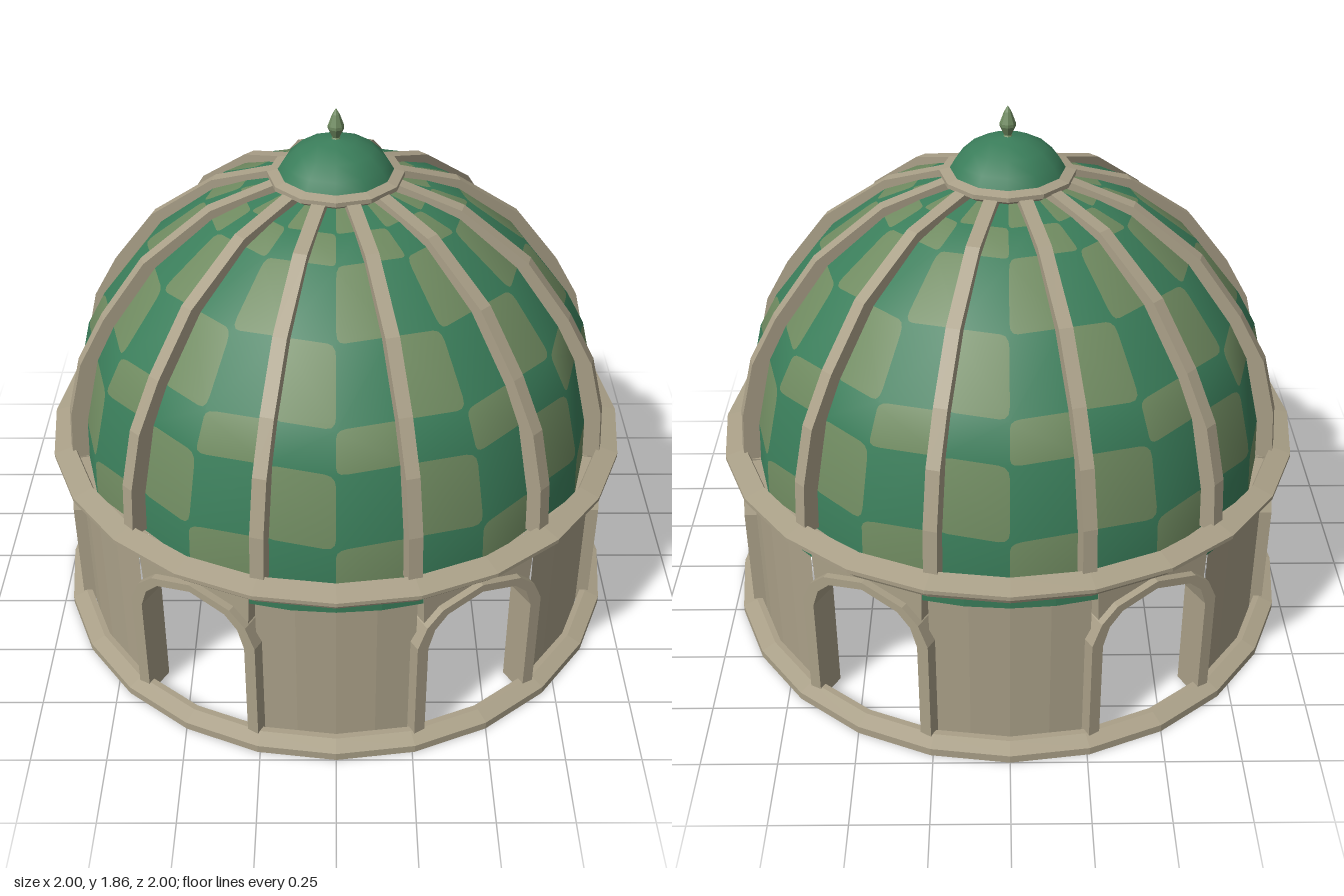
import * as THREE from 'three';
import { mergeGeometries } from 'three/addons/utils/BufferGeometryUtils.js';

const DEG = Math.PI / 180;
const vec = (p) => new THREE.Vector2(p[0], p[1]);

// Faceted normals for stonework
function faceted(geometry) {
  const g = geometry.index ? geometry.toNonIndexed() : geometry;
  g.computeVertexNormals();
  return g;
}

function lathe(profile, sides, start = 0, length = Math.PI * 2) {
  return new THREE.LatheGeometry(profile.map(vec), sides, start, length);
}

// Dome outline: one point per tile row boundary [radius, height]
const DOME = [[0.915, 0.67], [0.908, 0.82], [0.85, 1.06], [0.785, 1.18],
  [0.63, 1.38], [0.43, 1.53], [0.31, 1.575], [0.17, 1.61]];

const domeNormals = DOME.map((p, i) => {
  const a = DOME[Math.max(i - 1, 0)], b = DOME[Math.min(i + 1, DOME.length - 1)];
  return new THREE.Vector2(b[1] - a[1], a[0] - b[0]).normalize();
});

// Corner of the twelve-sided shell; odd columns lie in the middle of a side
function domePoint(col, row) {
  const a = col * 15 * DEG;
  const r = DOME[row][0] * (col % 2 ? Math.cos(15 * DEG) : 1);
  return new THREE.Vector3(Math.sin(a) * r, DOME[row][1], Math.cos(a) * r);
}

// Lay a flat unit-square shape onto one dome tile
function onTile(shape, col, row) {
  const g = new THREE.ShapeGeometry(shape, 3);
  const pos = g.attributes.position, nor = g.attributes.normal;
  const [a, b, c, d] = [[0, 0], [1, 0], [0, 1], [1, 1]].map(([u, v]) => domePoint(col + u, row + v));
  for (let i = 0; i < pos.count; i++) {
    const u = pos.getX(i), v = pos.getY(i);
    const p = a.clone().lerp(b, u).lerp(c.clone().lerp(d, u), v);
    const n = domeNormals[row].clone().lerp(domeNormals[row + 1], v).normalize();
    const t = (col + u) * 15 * DEG;
    pos.setXYZ(i, p.x, p.y, p.z);
    nor.setXYZ(i, Math.sin(t) * n.x, n.y, Math.cos(t) * n.x);
  }
  return g;
}

// Unit-square shapes: full tile, rounded tile and its four corner fillets
const ROUND = 0.16;
const TURNS = [[0, 0], [1, 0], [1, 1], [0, 1]];
const toward = (p, q, t) => [p[0] + (q[0] - p[0]) * t, p[1] + (q[1] - p[1]) * t];
const squareTile = new THREE.Shape(TURNS.map(vec));
const roundTile = new THREE.Shape();
const fillets = [];
TURNS.forEach((p, i) => {
  const before = toward(p, TURNS[(i + 3) % 4], ROUND), after = toward(p, TURNS[(i + 1) % 4], ROUND);
  if (i) roundTile.lineTo(...before); else roundTile.moveTo(...before);
  roundTile.quadraticCurveTo(...p, ...after);
  const f = new THREE.Shape();
  f.moveTo(...p);
  f.lineTo(...after);
  f.quadraticCurveTo(...p, ...before);
  fillets.push(f);
});

// Pointed arch outline, from right foot over the apex to left foot
function archPoints(half, spring, shoulderX, shoulderY, apex, foot) {
  const right = [[half, foot], [half, spring], [(half + shoulderX) / 2 + 0.012, (spring + shoulderY) / 2 + 0.012],
    [shoulderX, shoulderY], [0, apex]];
  return right.concat(right.slice(0, -1).reverse().map(([x, y]) => [-x, y]));
}

function extrude(points, depth) {
  return new THREE.ExtrudeGeometry(new THREE.Shape(points.map(vec)), { depth, bevelEnabled: false });
}

export function createModel() {
  const stone = new THREE.MeshStandardMaterial({ color: 0xaaa088 });
  stone.name = 'stone';
  const green = new THREE.MeshStandardMaterial({ color: 0x3a7d5a, side: THREE.DoubleSide });
  green.name = 'greenTile';
  const olive = new THREE.MeshStandardMaterial({ color: 0x6f8a60, side: THREE.DoubleSide });
  olive.name = 'oliveTile';

  const model = new THREE.Group();
  model.name = 'domedPavilion';
  const add = (name, geometry, material, turn = 0) => {
    const mesh = new THREE.Mesh(geometry, material);
    mesh.name = name;
    mesh.rotation.y = turn;
    model.add(mesh);
    return mesh;
  };

  // Base ring and cornice
  add('baseRing', faceted(lathe([[0.93, 0], [1, 0], [1, 0.028], [0.95, 0.045], [0.93, 0.045], [0.93, 0]], 24)), stone);
  add('cornice', faceted(lathe([[0.925, 0.63], [0.96, 0.635], [0.97, 0.655], [0.98, 0.67], [1, 0.678],
    [1, 0.692], [0.93, 0.71], [0.925, 0.7], [0.925, 0.63]], 24)), stone);

  // Six curved wall piers, green bands and arched openings
  const pier = faceted(lathe([[0.84, 0], [0.92, 0], [0.92, 0.645], [0.84, 0.645], [0.84, 0]], 4, -16 * DEG, 32 * DEG));
  const band = faceted(lathe([[0.926, 0.585], [0.926, 0.638]], 4, -17.5 * DEG, 35 * DEG));
  const opening = archPoints(0.2, 0.41, 0.13, 0.525, 0.56, 0.0);
  const outer = archPoints(0.24, 0.425, 0.15, 0.55, 0.588, 0.0);
  const frame = extrude(outer.concat([...opening].reverse()), 0.11).translate(0, 0, 0.82);
  const head = opening.slice(1, -1).reverse();
  const spandrel = extrude(head.concat([[0.21, 0.645], [-0.21, 0.645]]), 0.08).translate(0, 0, 0.826);
  for (let i = 0; i < 6; i++) {
    add('wallPier', pier, stone, i * 60 * DEG);
    add('wallBand', band, green, i * 60 * DEG);
    add('archFrame', frame, stone, (i * 60 + 30) * DEG);
    add('archSpandrel', spandrel, stone, (i * 60 + 30) * DEG);
  }

  // Chequered dome shell
  const greens = [], olives = [];
  for (let row = 0; row < DOME.length - 1; row++) {
    for (let col = 0; col < 24; col++) {
      if ((row + col) % 2) {
        greens.push(onTile(squareTile, col, row));
      } else {
        olives.push(onTile(roundTile, col, row));
        fillets.forEach((f) => greens.push(onTile(f, col, row)));
      }
    }
  }
  add('domeGreenTiles', mergeGeometries(greens), green);
  add('domeOliveTiles', mergeGeometries(olives), olive);

  // Twelve ribs over the dome
  const ribTop = [[0.94, 0.68], [0.928, 0.86], [0.88, 1.05], [0.79, 1.21], [0.645, 1.4], [0.42, 1.56], [0.19, 1.63]];
  const ribUnder = [[0.87, 0.68], [0.865, 0.84], [0.81, 1.03], [0.735, 1.17], [0.595, 1.35], [0.39, 1.51], [0.18, 1.58]];
  const rib = extrude(ribTop.concat(ribUnder.reverse()).reverse(), 0.045).translate(0, 0, -0.0225);
  for (let i = 0; i < 12; i++) add('domeRib', rib, stone, (15 + i * 30) * DEG);

  // Crown ring, cap and finial
  add('crownRing', faceted(lathe([[0.15, 1.605], [0.2, 1.605], [0.222, 1.62], [0.222, 1.635], [0.185, 1.645],
    [0.15, 1.645], [0.15, 1.605]], 12)), stone);
  add('crownCap', lathe([[0.19, 1.64], [0.168, 1.677], [0.125, 1.717], [0.065, 1.745], [0, 1.755]], 12), green);
  add('finial', faceted(lathe([[0.02, 1.745], [0.012, 1.757], [0.026, 1.787], [0.026, 1.797], [0.012, 1.835],
    [0, 1.855]], 8)), olive);

  return model;
}
